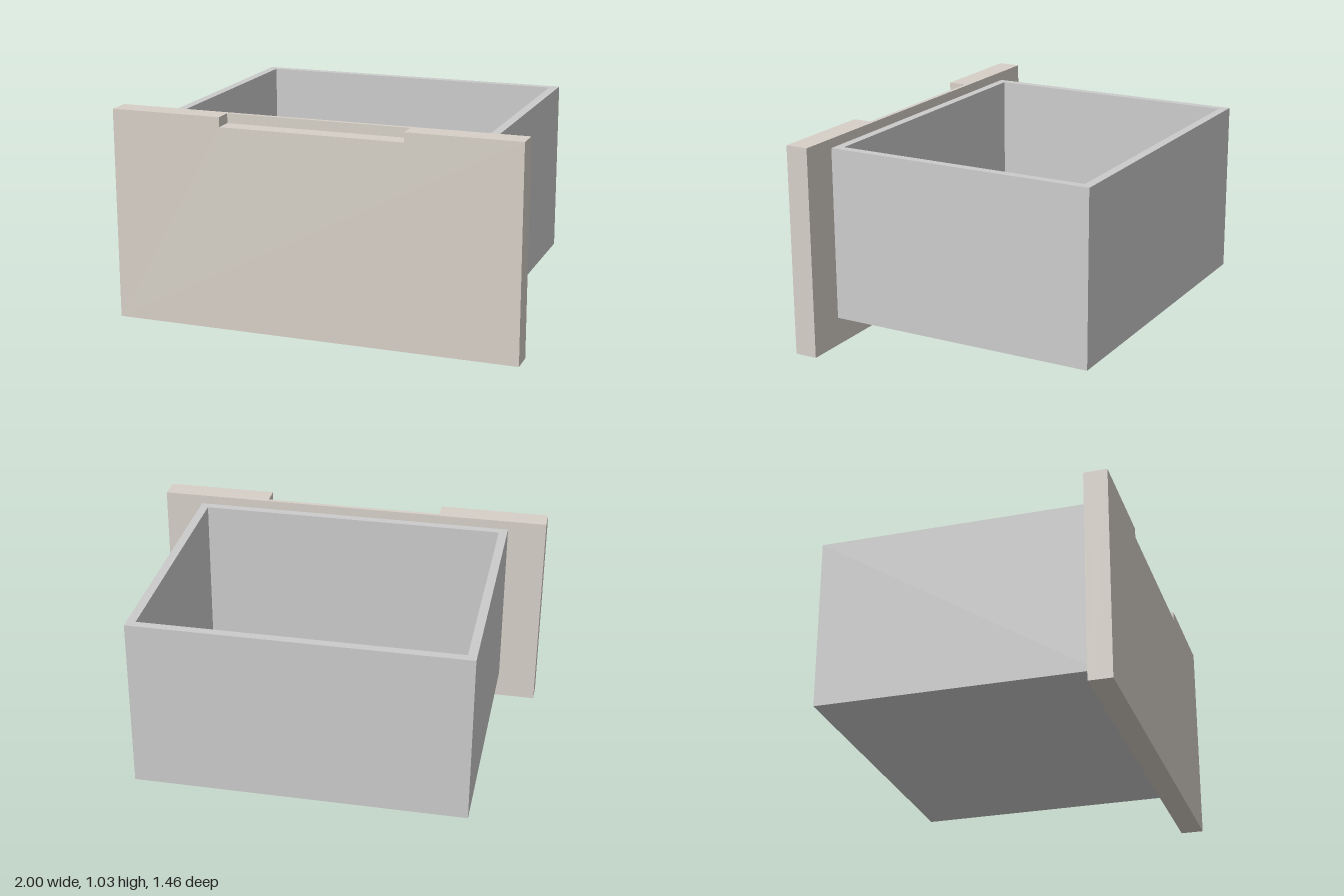
import * as THREE from 'three';

const beige = new THREE.MeshStandardMaterial({ color: 0xd6d0c7 });
const grey = new THREE.MeshStandardMaterial({ color: 0xcccccc });

function part(name, geometry, material, x = 0, y = 0, z = 0) {
  const mesh = new THREE.Mesh(geometry, material);
  mesh.name = name;
  mesh.position.set(x, y, z);
  return mesh;
}

function rectangle(Type, x0, y0, x1, y1) {
  return new Type([[x0, y0], [x1, y0], [x1, y1], [x0, y1]].map(([x, y]) => new THREE.Vector2(x, y)));
}

export function createModel() {
  const model = new THREE.Group();
  model.name = 'drawer';

  const front = 0.73, back = -0.73;
  const panelBack = 0.617, panelHeight = 1.035;
  const gripBack = 0.638, gripFloor = 0.988, gripHalf = 0.45;
  const boxHalf = 0.808, boxBottom = 0.139, boxTop = 0.99, wall = 0.043;

  // Front panel: notched face with a thin full-height lip behind the finger grip
  const panel = new THREE.Group();
  panel.name = 'frontPanel';
  const outline = new THREE.Shape([
    [-1, 0], [1, 0], [1, panelHeight], [gripHalf, panelHeight], [gripHalf, gripFloor],
    [-gripHalf, gripFloor], [-gripHalf, panelHeight], [-1, panelHeight],
  ].map(([x, y]) => new THREE.Vector2(x, y)));
  const face = new THREE.ExtrudeGeometry(outline, { depth: front - gripBack, bevelEnabled: false });
  const lipDepth = gripBack - panelBack;
  panel.add(
    part('panelFace', face, beige, 0, 0, gripBack),
    part('panelBacking', new THREE.BoxGeometry(2, panelHeight, lipDepth), beige,
      0, panelHeight / 2, panelBack + lipDepth / 2),
  );

  // Box: four walls as one hollow extrusion, drawn in plan (shape y becomes -z)
  const box = new THREE.Group();
  box.name = 'drawerBox';
  const plan = rectangle(THREE.Shape, -boxHalf, -panelBack, boxHalf, -back);
  plan.holes.push(rectangle(THREE.Path, -boxHalf + wall, -panelBack + wall, boxHalf - wall, -back - wall));
  const walls = new THREE.ExtrudeGeometry(plan, { depth: boxTop - boxBottom, bevelEnabled: false });
  walls.rotateX(-Math.PI / 2);

  // Floor fitted between the walls
  const floor = new THREE.BoxGeometry(2 * (boxHalf - wall), wall, panelBack - back - 2 * wall);
  box.add(
    part('boxWalls', walls, grey, 0, boxBottom, 0),
    part('boxFloor', floor, grey, 0, boxBottom + wall / 2, (panelBack + back) / 2),
  );

  model.add(panel, box);
  return model;
}
